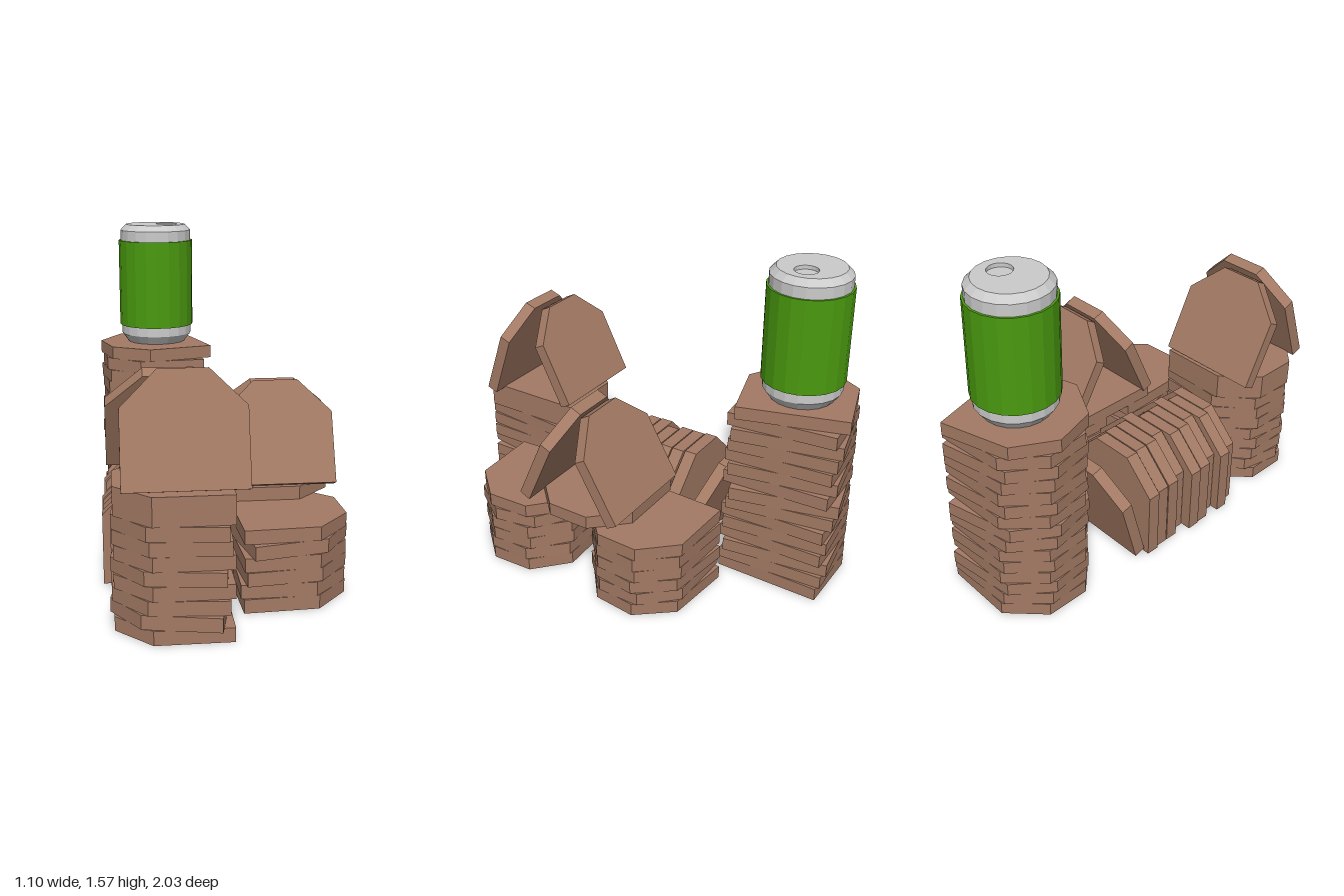
import * as THREE from 'three';

const W = 0.52, H = 0.49, T = 0.0633, CUT = 0.155;
const bread = new THREE.MeshStandardMaterial({ color: 0xa37a64, flatShading: true });
const green = new THREE.MeshStandardMaterial({ color: 0x4a9a0f, flatShading: true });
const metal = new THREE.MeshStandardMaterial({ color: 0xcccccc, flatShading: true });

// One slice: flat bottom edge, two cut corners at the top, centred on the origin
function sliceGeometry(thickness) {
  const w = W / 2, h = H / 2;
  const shape = new THREE.Shape([
    [-w, -h], [w, -h], [w, h - CUT], [w - CUT, h], [CUT - w, h], [-w, h - CUT],
  ].map(([x, y]) => new THREE.Vector2(x, y)));
  return new THREE.ExtrudeGeometry(shape, { depth: thickness, bevelEnabled: false })
    .translate(0, 0, -thickness / 2);
}

export function createModel() {
  const model = new THREE.Group();
  const slice = sliceGeometry(T);
  const thin = sliceGeometry(0.058);

  function add(parent, name, geometry, material, x = 0, y = 0, z = 0) {
    const mesh = new THREE.Mesh(geometry, material);
    mesh.name = name;
    mesh.position.set(x, y, z);
    parent.add(mesh);
    return mesh;
  }

  function group(name) {
    const g = new THREE.Group();
    g.name = name;
    model.add(g);
    return g;
  }

  // Flat pile of slices; side is the x direction the cut corners point to
  function stack(name, x, z, side, turns, y0 = 0) {
    const g = group(name);
    turns.forEach((turn, i) => {
      const m = add(g, 'flatSlice', slice, bread, x, y0 + T * (i + 0.5), z);
      m.rotation.set(-Math.PI / 2, -side * Math.PI / 2 + turn, 0, 'YXZ');
    });
  }

  // Slice leaning from its bottom edge (y0, z0) to its top edge (y1, z1)
  function lean(name, x, y0, z0, y1, z1) {
    const m = add(model, name, thin, bread, x, (y0 + y1) / 2, (z0 + z1) / 2);
    m.rotation.x = Math.atan2(z1 - z0, y1 - y0);
  }

  // Stacks
  stack('rearTower', -0.28, -0.69, -1,
    [0, 0.06, 0.14, 0.02, 0.1, 0.03, 0.16, 0.24, 0.05, 0.18, 0.08, 0.15, 0.22, 0.1, 0.29]);
  stack('frontTower', -0.265, 0.715, -1,
    [0, -0.2, -0.08, 0, -0.14, 0, -0.05, -0.1, 0, 0]);
  stack('rearLeftStack', 0.275, -0.2, 1, [-0.1, 0, -0.12, -0.04, -0.08, -0.03]);
  stack('frontLeftStack', 0.28, 0.45, 1, [0.05, 0, 0.1, 0.06, 0.2, 0.05]);
  stack('bridgeSlice', 0.265, 0.085, 1, [0], 6 * T);

  // Row of upright slices joining the two towers
  const row = group('uprightRow');
  [-0.285, -0.275, -0.275, -0.245, -0.295, -0.29, -0.255, -0.295, -0.26].forEach((x, i) =>
    add(row, 'uprightSlice', slice, bread, x, H / 2, -0.17 + i * 0.0685));

  // Roofs and the slice propped on the rear tower
  lean('frontTowerRoofFront', -0.215, 0.637, 0.92, 1.095, 0.758);
  lean('frontTowerRoofBack', -0.27, 0.637, 0.48, 1.075, 0.702);
  lean('bridgeRoofFront', 0.265, 0.45, 0.325, 0.89, 0.125);
  lean('bridgeRoofBack', 0.265, 0.45, -0.175, 0.88, 0.075);
  lean('proppedSlice', -0.265, 0.012, -0.235, 0.5, -0.372);

  // Drink can on the rear tower
  const can = group('can');
  can.position.set(-0.245, 0, -0.71);
  const lathe = (pts) => new THREE.LatheGeometry(pts.map(([r, y]) => new THREE.Vector2(r, y)), 20);
  add(can, 'canBody', lathe([[0.18, 1.042], [0.195, 1.042], [0.195, 1.49], [0.18, 1.49]]), green);
  add(can, 'canBottom', lathe([[0, 0.951], [0.153, 0.951], [0.185, 0.995], [0.185, 1.045]]), metal);
  add(can, 'canTop', lathe([[0.185, 1.485], [0.185, 1.543], [0.156, 1.573]]), metal);

  // Lid with a shallow round opening
  const lid = new THREE.Shape().absarc(0, 0, 0.156, 0, Math.PI * 2, false);
  lid.holes.push(new THREE.Path().absarc(0.06, 0, 0.055, 0, Math.PI * 2, true));
  const lidGeometry = new THREE.ExtrudeGeometry(lid, { depth: 0.02, bevelEnabled: false, curveSegments: 10 });
  add(can, 'canLid', lidGeometry.rotateX(-Math.PI / 2), metal, 0, 1.553, 0);
  add(can, 'openingFloor', new THREE.CircleGeometry(0.06, 20).rotateX(-Math.PI / 2), metal, 0.06, 1.555, 0);

  return model;
}
